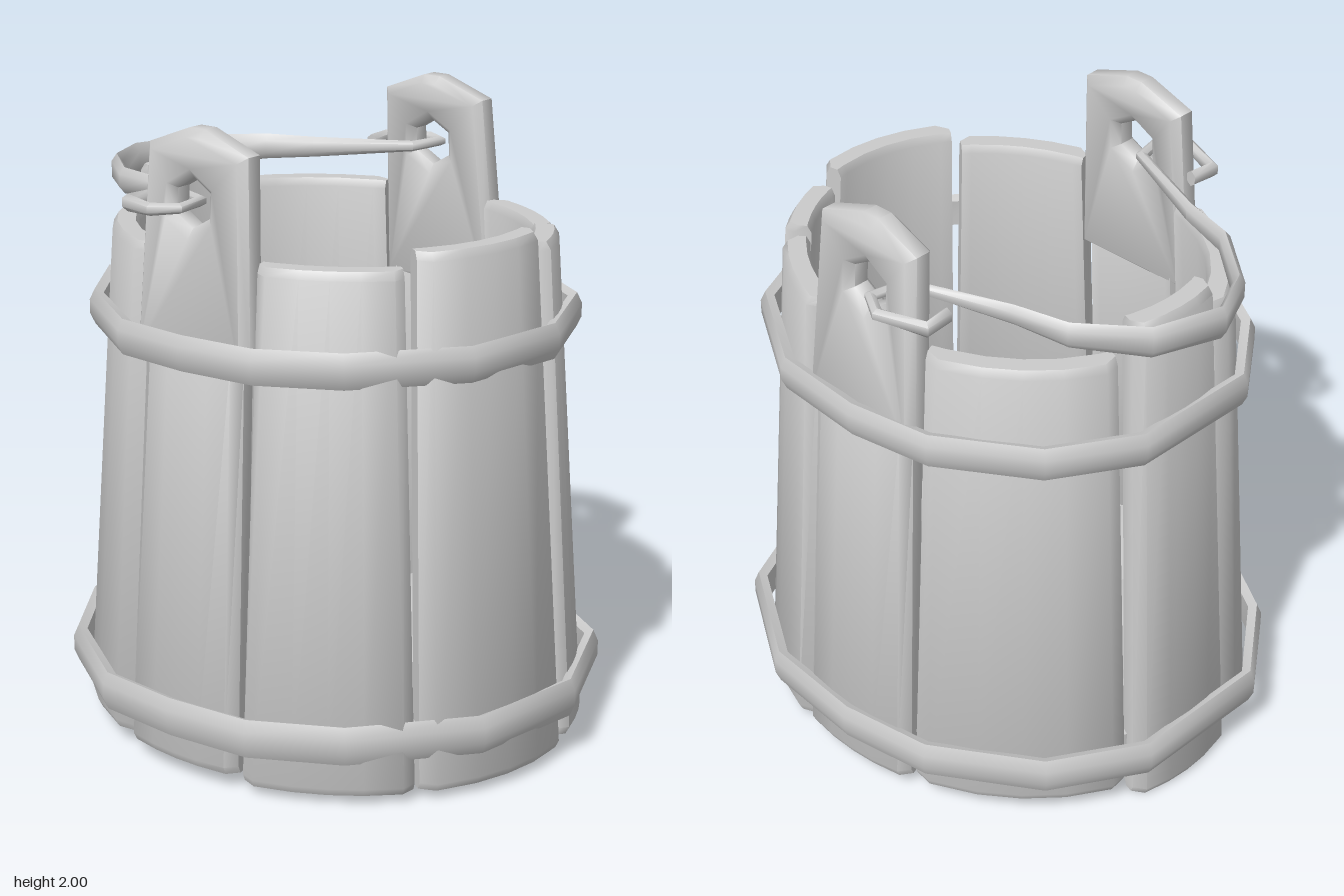
import * as THREE from 'three';
import { toCreasedNormals } from 'three/addons/utils/BufferGeometryUtils.js';

const material = new THREE.MeshStandardMaterial({ color: 0xcccccc });
const WALL = 0.085;

// Outer wall radii: an oval that tapers upwards
const radiusX = (y) => 0.757 - 0.07 * y;
const radiusZ = (y) => 0.838 - 0.07 * y;
// Point on the oval, angle measured from the front (+z) towards +x
const onWall = (angle, y, offset) => new THREE.Vector3(
  Math.sin(angle) * (radiusX(y) + offset), y, Math.cos(angle) * (radiusZ(y) + offset));

// Skin equal-sized rings; open lofts get strip caps, and faces are turned outwards
function loft(rings, closed = false, crease = 0.75) {
  const n = rings[0].length, m = rings.length;
  const points = rings.flat();
  const index = [];
  const quad = (a, b, c, d) => index.push(a, b, c, a, c, d);
  for (let r = 0; r < (closed ? m : m - 1); r++) {
    const s = (r + 1) % m;
    for (let i = 0; i < n; i++) {
      const j = (i + 1) % n;
      quad(r * n + i, r * n + j, s * n + j, s * n + i);
    }
  }
  if (!closed) {
    const e = (m - 1) * n;
    for (let i = 0; i < n / 2 - 1; i++) {
      quad(i, n - 1 - i, n - 2 - i, i + 1);
      quad(e + i, e + i + 1, e + n - 2 - i, e + n - 1 - i);
    }
  }
  let volume = 0;
  const cross = new THREE.Vector3();
  for (let i = 0; i < index.length; i += 3) {
    cross.crossVectors(points[index[i + 1]], points[index[i + 2]]);
    volume += points[index[i]].dot(cross);
  }
  if (volume < 0) index.reverse();
  const geometry = new THREE.BufferGeometry().setFromPoints(points);
  geometry.setIndex(index);
  return toCreasedNormals(geometry, crease);
}

// Curved wall board between two angles: rounded long edges, gaps opening towards the top
function staveGeometry(a0, a1, y0, y1) {
  const steps = [0, 0.08, 0.3, 0.5, 0.7, 0.92, 1];
  const levels = [[y0, 0.014], [y0 + 0.025, 0], [y1 - 0.025, 0], [y1, 0.014]];
  return loft(levels.map(([y, ease]) => {
    const gap = 0.004 + 0.012 * y;
    const outer = [], inner = [];
    for (const s of steps) {
      const a = THREE.MathUtils.lerp(a0 + gap, a1 - gap, s);
      const edge = s === 0 || s === 1 ? 0.03 : 0;
      outer.push(onWall(a, y, -ease - edge));
      inner.unshift(onWall(a, y, -WALL + ease));
    }
    return [...outer, ...inner];
  }), false, 0.9);
}

// Pointed ear with a six-sided hole and softened edges, leaning with the wall
function earGeometry() {
  const shape = new THREE.Shape([
    [-0.24, 1.3], [0.208, 1.3], [0.17, 1.94], [0, 2], [-0.06, 2], [-0.218, 1.94],
  ].map(([z, y]) => new THREE.Vector2(z, y)));
  const hole = [];
  for (let i = 0; i < 6; i++) {
    const a = Math.PI / 2 - (i * Math.PI) / 3;
    hole.push(new THREE.Vector2(-0.035 + 0.075 * Math.cos(a), 1.78 + 0.075 * Math.sin(a)));
  }
  shape.holes.push(new THREE.Path(hole));
  const bevel = 0.025;
  const geometry = new THREE.ExtrudeGeometry(shape, {
    depth: 0.05, bevelThickness: bevel, bevelSize: bevel, bevelOffset: -bevel, bevelSegments: 1,
  });
  const pos = geometry.attributes.position;
  for (let i = 0; i < pos.count; i++) {
    const z = pos.getX(i), y = pos.getY(i);
    pos.setXYZ(i, radiusX(y) - 0.033 - pos.getZ(i), y, z);
  }
  return toCreasedNormals(geometry, 0.85);
}

// Outer corners (x, z) of the hand-bent hoops
const hoopCorners = [
  [0.14, 0.86], [0.52, 0.69], [0.75, 0.33], [0.78, -0.03], [0.73, -0.34], [0.52, -0.67], [0.23, -0.85],
  [-0.26, -0.86], [-0.54, -0.66], [-0.76, -0.31], [-0.78, -0.02], [-0.75, 0.27], [-0.6, 0.54], [-0.26, 0.81],
];

// Hoop with a rounded band section
function hoopGeometry(yMid, half, scale) {
  const section = [[-0.045, -0.8], [-0.016, -1], [0, -0.4], [0, 0.4], [-0.016, 1], [-0.045, 0.8]];
  const rings = hoopCorners.map(([x, z]) => section.map(([out, v]) => {
    const k = scale + out / Math.hypot(x, z);
    return new THREE.Vector3(x * k, yMid + v * half, z * k);
  }));
  return loft(rings, true, 1.1);
}

// Floor board along x, bulging above and below, trimmed to the oval
function floorBoardGeometry(z0, z1) {
  const rings = [];
  for (let i = 0; i <= 6; i++) {
    const z = z0 + ((z1 - z0) * i) / 6;
    const w = 0.68 * Math.sqrt(1 - (z / 0.76) ** 2);
    const h = 0.012 + 0.035 * Math.sin((Math.PI * i) / 6);
    rings.push([[-w, -h], [w, -h], [w, h], [-w, h]]
      .map(([x, y]) => new THREE.Vector3(x, 0.19 + y, z)));
  }
  return loft(rings);
}

// Bail: hooked through both ears, resting towards the back, deeper in the middle
function bailGeometry() {
  const half = [[0.53, -0.275], [0.62, -0.285], [0.675, -0.14], [0.63, -0.065], [0.51, -0.09],
    [0.385, -0.4], [0.34, -0.57], [0.19, -0.75]];
  const path = [...half, [-0.03, -0.82], ...half.map(([x, z]) => [-x, z]).reverse()]
    .map(([x, z]) => new THREE.Vector3(x, 1.77 + 0.075 * z, z));
  const rings = path.map((p, i) => {
    const before = path[Math.max(i - 1, 0)], after = path[Math.min(i + 1, path.length - 1)];
    const dirIn = p.clone().sub(before).normalize(), dirOut = after.clone().sub(p).normalize();
    const t = dirIn.add(dirOut).normalize();
    const side = new THREE.Vector3(-t.z, 0, t.x).normalize();
    const depth = THREE.MathUtils.mapLinear(p.z, -0.065, -0.82, 0.016, 0.055);
    return Array.from({ length: 6 }, (_, k) => {
      const a = ((k + 0.5) * Math.PI) / 3;
      const q = p.clone().addScaledVector(side, 0.02 * Math.cos(a));
      q.y += depth * Math.sin(a);
      return q;
    });
  });
  return loft(rings, false, 1.1);
}

export function createModel() {
  const model = new THREE.Group();
  model.name = 'bucket';
  const add = (name, geometry) => {
    const mesh = new THREE.Mesh(geometry, material);
    mesh.name = name;
    model.add(mesh);
    return mesh;
  };

  // Wall boards: name, start angle, end angle, bottom, top
  [
    ['frontStave', -0.594, 0.215, 0.03, 1.68],
    ['frontLeftStave', 0.225, 0.68, 0.04, 1.63],
    ['sideFrontLeftStave', 0.69, 1.302, 0.03, 1.615],
    ['leftEarStave', 1.312, 1.88, 0.05, 1.36],
    ['backLeftStave', 1.89, 2.8, 0.06, 1.625],
    ['backStave', 2.83, 3.41, 0, 1.73],
    ['backRightStave', 3.43, 4.393, 0.05, 1.625],
    ['rightEarStave', 4.403, 4.971, 0.05, 1.36],
    ['frontRightStave', 4.981, 5.679, 0.03, 1.63],
  ].forEach(([name, ...dims]) => add(name, staveGeometry(...dims)));

  // Ears
  const ear = earGeometry();
  add('leftEar', ear);
  add('rightEar', ear).scale.x = -1;

  // Hoops
  add('lowerHoop', hoopGeometry(0.2, 0.062, 1));
  add('upperHoop', hoopGeometry(1.345, 0.056, 0.9));

  // Floor
  const seams = [-0.75, -0.5, -0.19, 0.17, 0.48, 0.75];
  for (let i = 0; i < 5; i++) add('floorBoard' + (i + 1), floorBoardGeometry(seams[i], seams[i + 1]));

  add('bailHandle', bailGeometry());
  return model;
}
